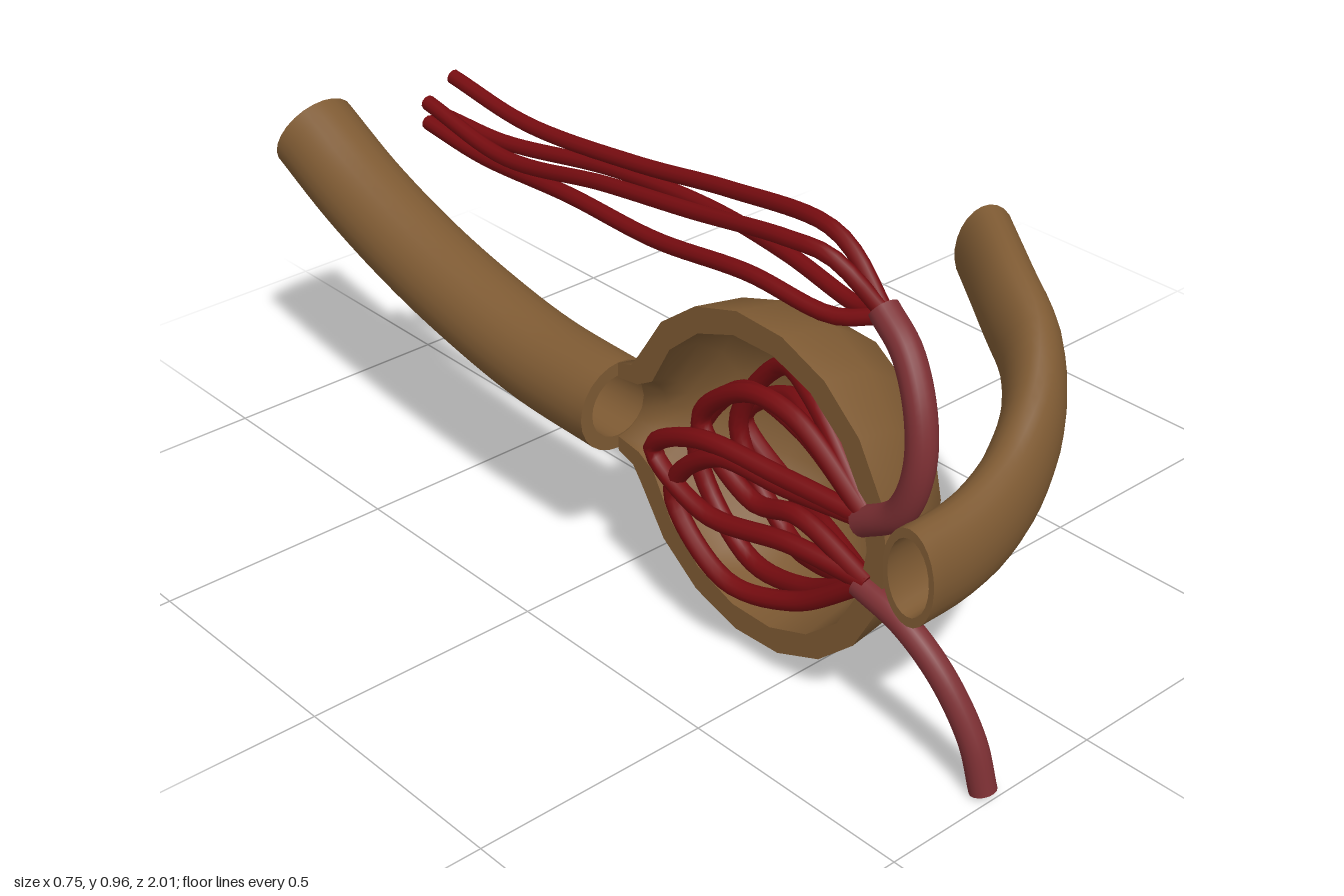
import * as THREE from 'three';
import { mergeGeometries } from 'three/addons/utils/BufferGeometryUtils.js';

const CUT_X = -0.285; // plane of the sectioned capsule

const wallMat = new THREE.MeshStandardMaterial({ color: 0x7e5a33, side: THREE.DoubleSide });
wallMat.name = 'brown wall';
const vesselMat = new THREE.MeshStandardMaterial({ color: 0x7c2f33 });
vesselMat.name = 'dull red vessel';
const capillaryMat = new THREE.MeshStandardMaterial({ color: 0x760c10 });
capillaryMat.name = 'dark red capillary';

const curveOf = (pts) => new THREE.CatmullRomCurve3(pts.map((p) => new THREE.Vector3(...p)));

function named(name, geometry, material) {
  const mesh = new THREE.Mesh(geometry, material);
  mesh.name = name;
  return mesh;
}

// Smooth skin over a list of closed rings
function skin(rings) {
  const n = rings[0].length;
  const index = [];
  for (let i = 0; i < rings.length - 1; i++) {
    for (let j = 0; j < n; j++) {
      const k = (j + 1) % n;
      const a = i * n + j, b = i * n + k, c = a + n, d = b + n;
      index.push(a, c, b, b, c, d);
    }
  }
  const g = new THREE.BufferGeometry().setFromPoints(rings.flat());
  g.setIndex(index);
  g.computeVertexNormals();
  return g;
}

// Hollow pipe with an oval section that stays upright along its path
function pipe(pts, rUp, rSide, bore, steps = 28, sides = 24) {
  const curve = curveOf(pts);
  const ring = (t, k) => {
    const c = curve.getPointAt(t), dir = curve.getTangentAt(t);
    const side = new THREE.Vector3().crossVectors(dir, new THREE.Vector3(0, 1, 0)).normalize();
    const up = new THREE.Vector3().crossVectors(side, dir);
    return Array.from({ length: sides }, (_, j) => {
      const a = (j / sides) * Math.PI * 2;
      return c.clone().addScaledVector(up, Math.cos(a) * rUp * k)
        .addScaledVector(side, Math.sin(a) * rSide * k);
    });
  };
  const along = (k) => Array.from({ length: steps + 1 }, (_, i) => ring(i / steps, k));
  return mergeGeometries([
    skin(along(1)), skin(along(bore).reverse()),
    skin([ring(0, bore), ring(0, 1)]), skin([ring(1, 1), ring(1, bore)]),
  ]);
}

// Solid round strand with flat ends
function strand(pts, radius, steps = 40, sides = 10) {
  const curve = curveOf(pts);
  const cap = (t, sign) => {
    const dir = curve.getTangentAt(t).multiplyScalar(sign);
    const q = new THREE.Quaternion().setFromUnitVectors(new THREE.Vector3(0, 0, 1), dir);
    const p = curve.getPointAt(t);
    return new THREE.CircleGeometry(radius, sides).applyQuaternion(q).translate(p.x, p.y, p.z);
  };
  return mergeGeometries([
    new THREE.TubeGeometry(curve, steps, radius, sides), cap(0, -1), cap(1, 1),
  ]);
}

// Half capsule: thick shell turned about the z axis, flaring into a neck
function capsuleGeometry() {
  const arc = (r, end) => Array.from({ length: 9 }, (_, i) => {
    const a = (i / 8) * end;
    return new THREE.Vector2(Math.max(0, r * Math.sin(a)), -r * Math.cos(a));
  });
  const profile = [
    ...arc(0.345, 2.72),
    new THREE.Vector2(0.11, 0.338), new THREE.Vector2(0.097, 0.38),
    new THREE.Vector2(0.066, 0.38), new THREE.Vector2(0.075, 0.32),
    ...arc(0.295, 2.8).reverse(),
  ];
  const rim = () => new THREE.ShapeGeometry(new THREE.Shape(profile));
  return mergeGeometries([
    new THREE.LatheGeometry(profile, 8, 0, Math.PI),
    rim().rotateY(-Math.PI / 2), rim().rotateY(Math.PI / 2),
  ]).rotateX(-Math.PI / 2).translate(CUT_X, 0.385, 0.41);
}

export function createModel() {
  const model = new THREE.Group();
  model.name = 'sectionedCapsule';

  model.add(named('capsule', capsuleGeometry(), wallMat));

  // Long pipe leaving the neck towards the back
  model.add(named('rearPipe', pipe([
    [-0.283, 0.388, 0.03], [-0.283, 0.395, -0.2], [-0.283, 0.427, -0.4],
    [-0.283, 0.477, -0.6], [-0.283, 0.55, -0.8], [-0.283, 0.632, -0.965],
  ], 0.096, 0.094, 0.7), wallMat));

  // Flattened pipe sweeping across the front
  model.add(named('frontPipe', pipe([
    [-0.322, 0.412, 0.84], [-0.2, 0.413, 0.835], [-0.1, 0.427, 0.82], [0, 0.457, 0.79],
    [0.1, 0.515, 0.74], [0.18, 0.58, 0.66], [0.24, 0.632, 0.545], [0.325, 0.665, 0.405],
  ], 0.1, 0.059, 0.8), wallMat));

  // Vessels entering and leaving the capsule
  model.add(named('lowerVessel', strand([
    [-0.253, 0, 0.977], [-0.26, 0.1, 0.95], [-0.275, 0.21, 0.885],
    [-0.285, 0.28, 0.8], [-0.285, 0.31, 0.69],
  ], 0.026, 32, 16), vesselMat));
  model.add(named('upperVessel', strand([
    [-0.285, 0.44, 0.69], [-0.285, 0.5, 0.78], [-0.282, 0.6, 0.818],
    [-0.27, 0.7, 0.805], [-0.25, 0.79, 0.75], [-0.238, 0.84, 0.68],
  ], 0.029, 32, 16), vesselMat));

  // Fine branches running to the back
  const branches = new THREE.Group();
  branches.name = 'branches';
  [
    [[-0.28, 0.92, 0.6], [-0.292, 0.925, 0.5], [-0.288, 0.885, 0.25], [-0.285, 0.85, 0],
      [-0.285, 0.8, -0.3], [-0.282, 0.835, -0.545]],
    [[-0.23, 0.915, 0.6], [-0.226, 0.94, 0.53], [-0.2, 0.9, 0.25], [-0.205, 0.865, 0],
      [-0.225, 0.852, -0.3], [-0.235, 0.885, -0.52]],
    [[-0.275, 0.808, 0.6], [-0.288, 0.818, 0.4], [-0.288, 0.79, 0.15], [-0.285, 0.79, -0.1],
      [-0.28, 0.775, -0.38], [-0.28, 0.79, -0.55]],
    [[-0.22, 0.81, 0.6], [-0.195, 0.825, 0.4], [-0.172, 0.825, 0.15], [-0.185, 0.815, -0.1],
      [-0.22, 0.785, -0.38], [-0.235, 0.79, -0.54]],
  ].forEach((pts, i) => branches.add(
    named('branch' + (i + 1), strand([[-0.24, 0.832, 0.69], ...pts], 0.0155), capillaryMat)));
  model.add(branches);

  // Tuft of looped capillaries inside the capsule: x, lowest y, highest y, deepest z
  const tuft = new THREE.Group();
  tuft.name = 'capillaryTuft';
  [
    [-0.33, 0.185, 0.44, 0.24], [-0.335, 0.31, 0.46, 0.19], [-0.26, 0.2, 0.55, 0.23],
    [-0.2, 0.24, 0.6, 0.28], [-0.15, 0.3, 0.5, 0.24], [-0.295, 0.36, 0.58, 0.28],
  ].forEach(([x, lo, hi, z], i) => {
    const near = (x + CUT_X) / 2;
    tuft.add(named('loop' + (i + 1), strand([
      [CUT_X, 0.32, 0.71], [near, lo + 0.02, 0.54], [x, lo, z + 0.14],
      [x, (lo + hi) / 2, z], [x, hi, z + 0.12], [near, hi, 0.52], [CUT_X, 0.45, 0.71],
    ], 0.019, 48), capillaryMat));
  });
  model.add(tuft);

  return model;
}
